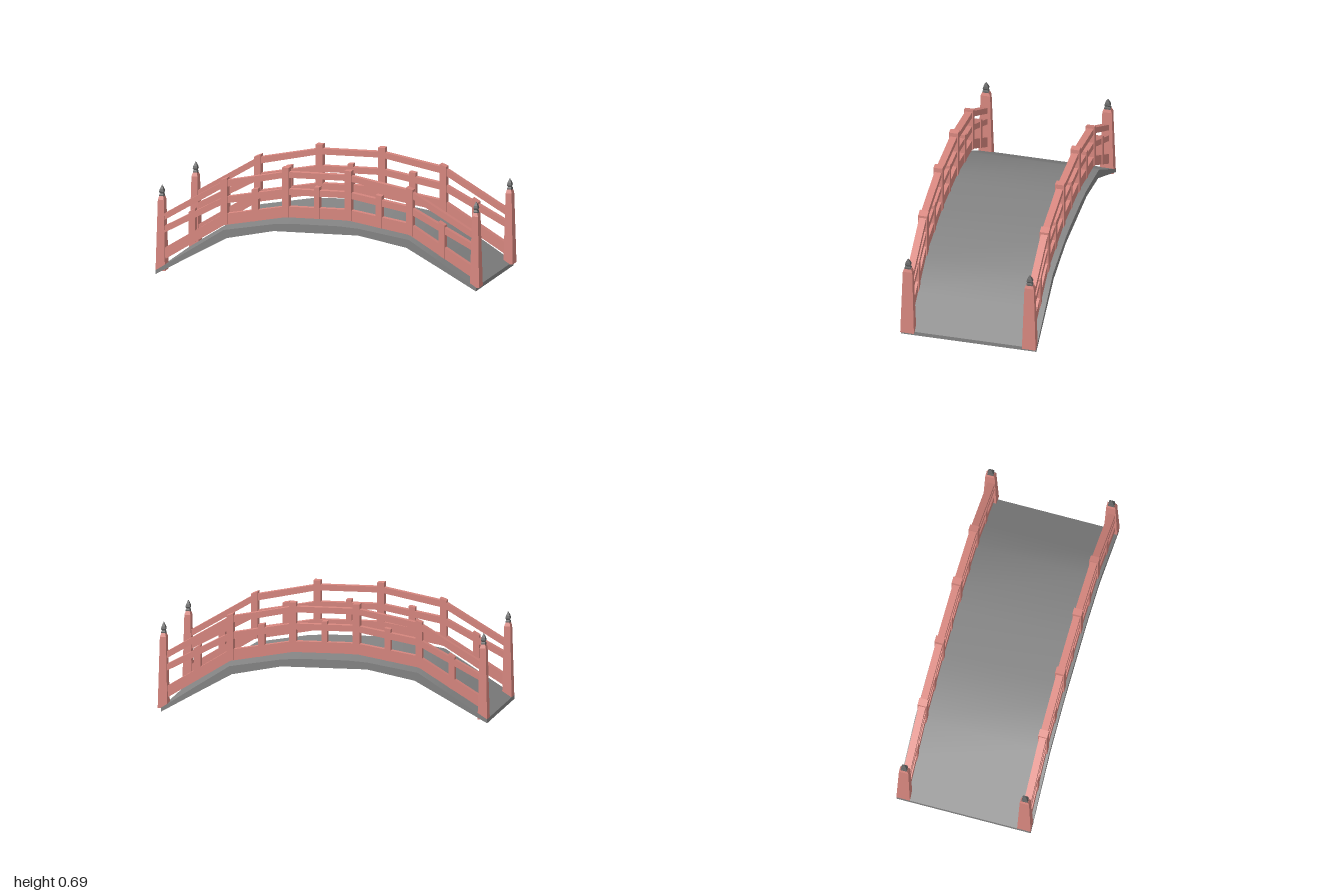
import * as THREE from 'three';
import { toCreasedNormals } from 'three/addons/utils/BufferGeometryUtils.js';

const red = new THREE.MeshStandardMaterial({ color: 0xd98880 });
const stone = new THREE.MeshStandardMaterial({ color: 0x858585 });
const iron = new THREE.MeshStandardMaterial({ color: 0x666666 });

// Extrude an x-y outline to a given depth, centred on z = 0
function slab(points, depth) {
  const shape = new THREE.Shape(points.map(([x, y]) => new THREE.Vector2(x, y)));
  return new THREE.ExtrudeGeometry(shape, { depth, bevelEnabled: false }).translate(0, 0, -depth / 2);
}

function add(parent, name, geometry, material) {
  const mesh = new THREE.Mesh(geometry, material);
  mesh.name = name;
  parent.add(mesh);
  return mesh;
}

// Mirror half a line (given from the middle outwards) to a full left-to-right line
const mirrorLine = (half) => [...half.map(([x, y]) => [-x, y]).reverse(), ...half];

// Height along a half line of points at distance x from the middle
function heightAt(line, x) {
  const i = Math.max(1, line.findIndex(([px]) => px >= x));
  const [[x0, y0], [x1, y1]] = [line[i - 1], line[i]];
  return y0 + ((y1 - y0) * (x - x0)) / (x1 - x0);
}

// Square, four-sided tapered block from rings of [halfX, halfZ, y]
function tapered(rings) {
  const pos = [];
  const corner = ([hx, hz, y], k) => [[-hx, y, hz], [hx, y, hz], [hx, y, -hz], [-hx, y, -hz]][k % 4];
  const quad = (a, b, c, d) => pos.push(...a, ...b, ...c, ...a, ...c, ...d);
  for (let r = 0; r + 1 < rings.length; r++)
    for (let k = 0; k < 4; k++)
      quad(corner(rings[r], k), corner(rings[r], k + 1), corner(rings[r + 1], k + 1), corner(rings[r + 1], k));
  const first = rings[0], last = rings[rings.length - 1];
  quad(...[3, 2, 1, 0].map((k) => corner(first, k)));
  quad(...[0, 1, 2, 3].map((k) => corner(last, k)));
  const g = new THREE.BufferGeometry();
  g.setAttribute('position', new THREE.Float32BufferAttribute(pos, 3));
  g.computeVertexNormals();
  return g;
}

// Top and bottom of each rail at the bends, from the middle outwards
const BENDS = [0.193, 0.573, 0.965];
const RAILS = {
  topRail: [[0.66, 0.587, 0.355], [0.625, 0.547, 0.315]],
  middleRail: [[0.557, 0.488, 0.28], [0.52, 0.447, 0.24]],
  bottomRail: [[0.45, 0.385, 0.145], [0.385, 0.317, 0.075]],
};
const bendLine = (ys) => ys.map((y, i) => [BENDS[i], y]);
const lowerLine = [[0, 0.385], ...bendLine(RAILS.bottomRail[1])];

// Upright whose ends follow the slope of the rails: [x, top, slope, width]
const UPRIGHTS = {
  tallPost: [[0.193, 0.686, 0, 0.042], [0.573, 0.598, -0.38, 0.04]],
  shortPost: [[0, 0.577, 0, 0.032], [0.383, 0.546, -0.19, 0.038], [0.772, 0.397, -0.59, 0.038]],
};

function railing() {
  const group = new THREE.Group();
  for (const [name, [upper, lower]] of Object.entries(RAILS)) {
    const outline = [...mirrorLine(bendLine(lower)), ...mirrorLine(bendLine(upper)).reverse()];
    add(group, name, slab(outline, 0.042), red);
  }
  for (const [name, list] of Object.entries(UPRIGHTS))
    for (const [x, top, slope, width] of list)
      for (const side of x ? [-1, 1] : [1]) {
        const h = width / 2, dy = slope * side * h;
        const base = heightAt(lowerLine, x);
        const cx = side * x;
        const pts = [[cx - h, base - dy], [cx + h, base + dy], [cx + h, top + dy], [cx - h, top - dy]];
        add(group, name, slab(pts, name === 'tallPost' ? 0.055 : 0.05), red);
      }
  return group;
}

// Tapered corner post with a pointed metal cap
function endPost() {
  const group = new THREE.Group();
  add(group, 'endPostShaft', tapered([
    [0.029, 0.042, 0.022], [0.0185, 0.029, 0.45], [0.012, 0.02, 0.472],
  ]), red);
  add(group, 'finial', tapered([
    [0.013, 0.019, 0.45], [0.013, 0.019, 0.478], [0.009, 0.014, 0.487],
    [0.014, 0.018, 0.497], [0.011, 0.014, 0.512], [0.001, 0.001, 0.537],
  ]), iron);
  return group;
}

export function createModel() {
  const model = new THREE.Group();
  model.name = 'archedBridge';

  // Thin arched deck
  const underside = [[-1, 0], [-0.78, 0.122], [-0.56, 0.242], [-0.27, 0.3], [0.25, 0.3], [0.55, 0.242], [0.765, 0.122], [0.98, 0]];
  const surface = [[0.98, 0.024], [0.765, 0.163], [0.565, 0.29], [0.25, 0.342], [0.13, 0.35], [-0.15, 0.35],
    [-0.27, 0.342], [-0.58, 0.29], [-0.78, 0.163], [-1, 0.024]];
  add(model, 'deck', toCreasedNormals(slab([...underside, ...surface], 0.83), 0.6), stone);

  // Railings and corner posts on both sides
  for (const [name, z] of [['frontRailing', 0.379], ['backRailing', -0.366]]) {
    const rail = railing();
    rail.name = name;
    rail.position.set(-0.007, 0, z);
    model.add(rail);
    for (const x of [-0.971, 0.971]) {
      const post = endPost();
      post.name = 'endPost';
      post.position.set(x, 0, Math.sign(z) * 0.373);
      model.add(post);
    }
  }
  return model;
}
